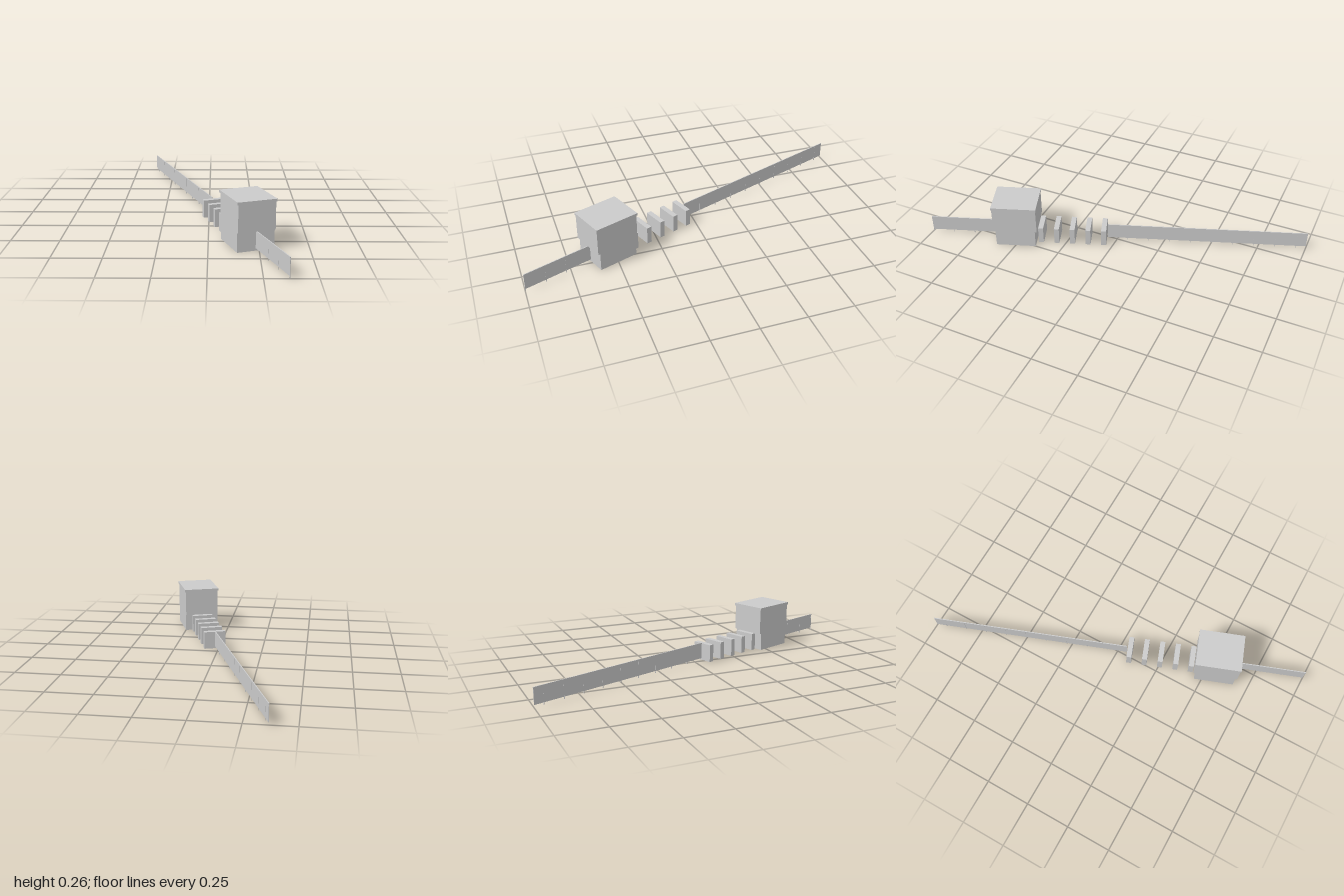
import * as THREE from 'three';

export function createModel() {
  const model = new THREE.Group();
  const material = new THREE.MeshStandardMaterial({ color: 0xcccccc, flatShading: true });

  // Everything is laid out along local z, then turned as one row
  const row = new THREE.Group();
  row.name = 'row';
  row.rotation.y = Math.atan(0.3675);
  model.add(row);

  // Box of width w and length l, from y0 to y1, centred at s along the row
  const box = (parent, name, w, l, y0, y1, s) => {
    const mesh = new THREE.Mesh(new THREE.BoxGeometry(w, y1 - y0, l), material);
    mesh.name = name;
    mesh.position.set(0, (y0 + y1) / 2, s);
    parent.add(mesh);
  };

  // House: lower body, upper storey overhanging front and back, flat roof
  const house = new THREE.Group();
  house.name = 'house';
  row.add(house);
  const centre = 0.566;
  box(house, 'lowerBody', 0.197, 0.222, 0, 0.1, centre);
  box(house, 'upperBody', 0.197, 0.244, 0.1, 0.243, centre);
  box(house, 'roof', 0.208, 0.25, 0.243, 0.257, centre);

  // Row of upright slabs leading to the house
  for (let i = 0; i < 5; i++) box(row, 'slab', 0.122, 0.028, 0, 0.098, 0.073 + i * 0.0888);

  // Thin fences: panel, top rail and posts
  const fence = (name, from, to, firstPost, postCount) => {
    const group = new THREE.Group();
    group.name = name;
    row.add(group);
    const mid = (from + to) / 2;
    box(group, 'panel', 0.002, to - from, 0.012, 0.097, mid);
    box(group, 'rail', 0.005, to - from, 0.097, 0.102, mid);
    for (let i = 0; i < postCount; i++) box(group, 'post', 0.003, 0.003, 0, 0.098, firstPost + i * 0.1186);
  };
  fence('backFence', -1.064, 0.054, -1.009, 9);
  fence('frontFence', 0.676, 1.064, 0.8253, 3);

  return model;
}
